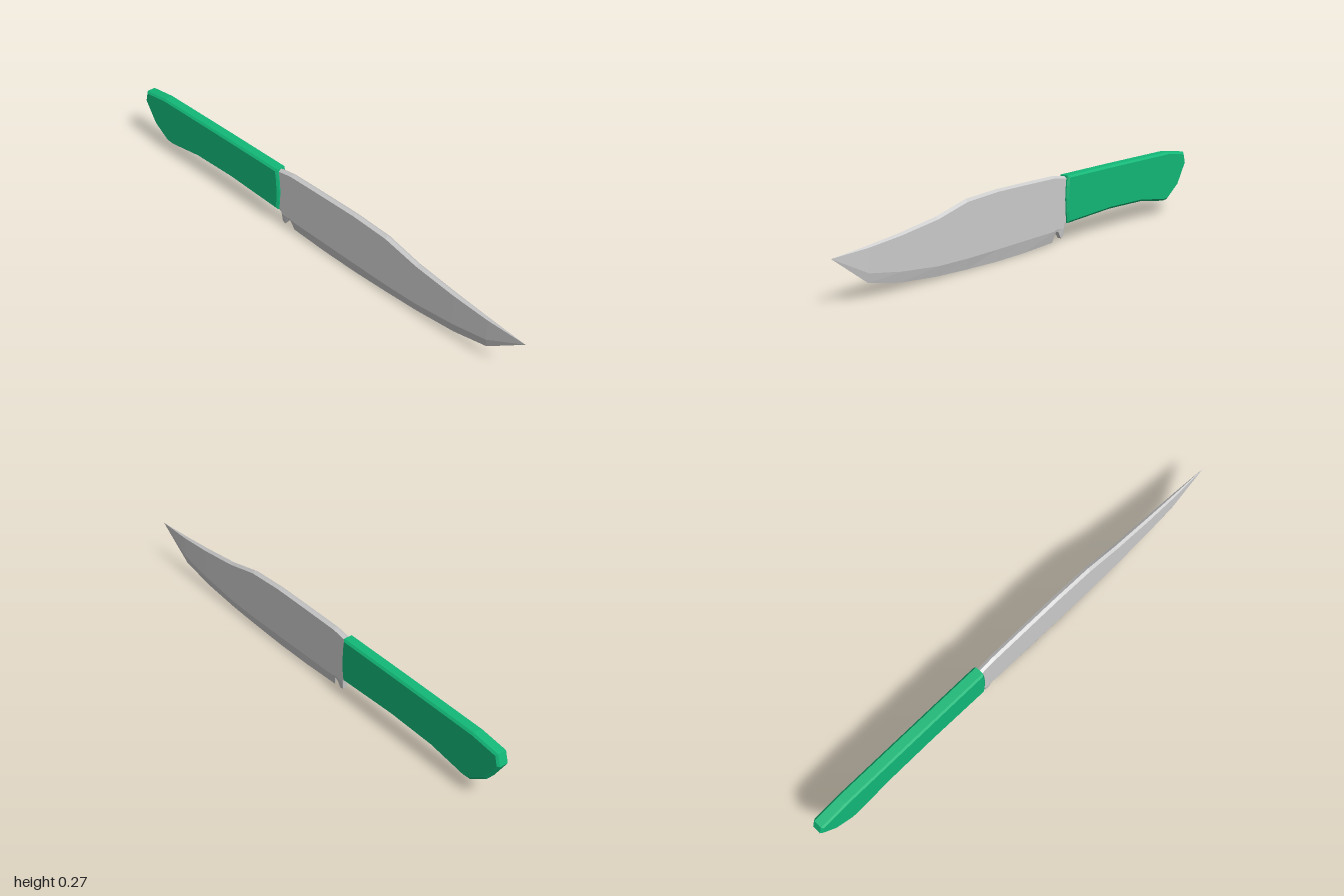
import * as THREE from 'three';

// Blade stations along x: [x, edge y, bevel y, shoulder y, spine y, half thickness, half edge width]
const STATIONS = [
  [-0.21, 0.08, 0.09, 0.247, 0.256, 0.012, 0.01],
  [-0.19, 0.065, 0.075, 0.25, 0.258, 0.012, 0.01],
  [-0.185, 0.025, 0.06, 0.251, 0.259, 0.012, 0.008],
  [-0.172, 0.02, 0.058, 0.253, 0.261, 0.012, 0.008],
  [-0.152, 0.05, 0.06, 0.256, 0.264, 0.012, 0.01],
  [-0.14, 0.052, 0.06, 0.258, 0.266, 0.012, 0.01],
  [-0.128, 0.01, 0.055, 0.259, 0.267, 0.012, 0],
  [0.04, 0.002, 0.052, 0.26, 0.268, 0.012, 0],
  [0.2, 0, 0.049, 0.26, 0.268, 0.012, 0],
  [0.36, 0.004, 0.047, 0.25, 0.259, 0.012, 0],
  [0.51, 0.01, 0.049, 0.214, 0.223, 0.011, 0],
  [0.69, 0.026, 0.066, 0.19, 0.198, 0.01, 0],
  [0.84, 0.056, 0.09, 0.176, 0.182, 0.007, 0],
  [1, 0.168, 0.168, 0.169, 0.169, 0, 0],
];

// Lofts the seven-point cross-sections into a flat-shaded solid
function bladeGeometry() {
  const positions = [], index = [], n = 7;
  for (const [x, edge, bevel, shoulder, spine, t, e] of STATIONS) {
    positions.push(x, edge, e, x, bevel, t, x, shoulder, t, x, spine, 0,
      x, shoulder, -t, x, bevel, -t, x, edge, -e);
  }
  for (let i = 0; i < STATIONS.length - 1; i++) {
    for (let k = 0; k < n; k++) {
      const a = i * n + k, b = i * n + (k + 1) % n;
      index.push(a, a + n, b + n, a, b + n, b);
    }
  }
  for (let k = 1; k < n - 1; k++) index.push(0, k, k + 1); // rear cap
  const g = new THREE.BufferGeometry();
  g.setAttribute('position', new THREE.Float32BufferAttribute(positions, 3));
  g.setIndex(index);
  g.computeVertexNormals();
  return g;
}

// Handle silhouette, extruded with a chamfer on both sides
function handleGeometry() {
  const outline = [
    [-1, 0.197], [-0.945, 0.11], [-0.87, 0.06], [-0.84, 0.058], [-0.68, 0.082],
    [-0.47, 0.087], [-0.2, 0.076], [-0.194, 0.12], [-0.192, 0.17], [-0.195, 0.22],
    [-0.2, 0.26], [-0.5, 0.26], [-0.87, 0.258], [-0.987, 0.243],
  ];
  const shape = new THREE.Shape(outline.map(([x, y]) => new THREE.Vector2(x, y)));
  const depth = 0.034;
  const g = new THREE.ExtrudeGeometry(shape, {
    depth, bevelEnabled: true, bevelThickness: 0.007, bevelSize: 0.008,
    bevelOffset: -0.008, bevelSegments: 1,
  });
  g.translate(0, 0, -depth / 2);
  return g;
}

export function createModel() {
  const knife = new THREE.Group();
  knife.name = 'knife';

  const blade = new THREE.Mesh(bladeGeometry(),
    new THREE.MeshStandardMaterial({ color: 0xcccccc, flatShading: true }));
  blade.name = 'blade';

  const handle = new THREE.Mesh(handleGeometry(),
    new THREE.MeshStandardMaterial({ color: 0x12b878, flatShading: true }));
  handle.name = 'handle';

  knife.add(blade, handle);
  return knife;
}
